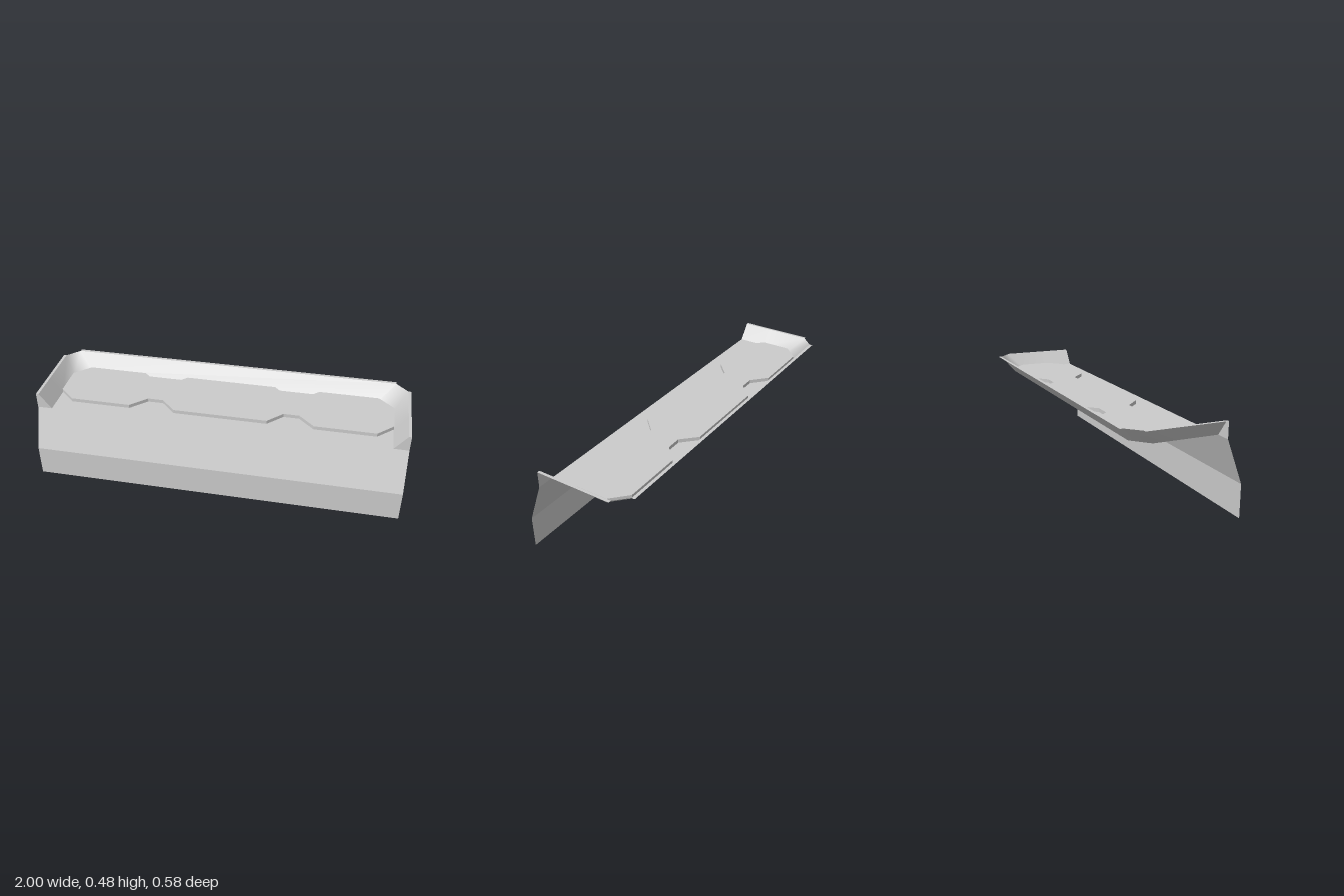
import * as THREE from 'three';

const DECK = 0.395, SLAB = 0.415, RIM = 0.48, FRONT = 0.206;

const material = (flat) => new THREE.MeshStandardMaterial({
  color: 0xcccccc, side: THREE.DoubleSide, flatShading: flat,
});

function addMesh(group, name, geometry, flat = true) {
  const mesh = new THREE.Mesh(geometry, material(flat));
  mesh.name = name;
  group.add(mesh);
  return mesh;
}

// Sheet joining a lower and an upper row of [x, y, z] points
function strip(lower, upper, closed = false) {
  const geometry = new THREE.BufferGeometry();
  const n = lower.length, index = [];
  geometry.setAttribute('position', new THREE.Float32BufferAttribute([...lower, ...upper].flat(), 3));
  for (let i = 0; i < (closed ? n : n - 1); i++) {
    const j = (i + 1) % n;
    index.push(i, j, n + j, i, n + j, n + i);
  }
  geometry.setIndex(index);
  geometry.computeVertexNormals();
  return geometry;
}

// Flat horizontal sheet from [x, z] points at height y
function sheet(points, y) {
  const shape = new THREE.Shape(points.map(([x, z]) => new THREE.Vector2(x, -z)));
  return new THREE.ShapeGeometry(shape).rotateX(-Math.PI / 2).translate(0, y, 0);
}

const at = (points, y) => points.map(([x, z]) => [x, y, z]);
// Continues a left-hand row of points with its mirror image
const mirrored = (points) => [...points, ...points.map(([x, z]) => [-x, z]).reverse()];

export function createModel() {
  const group = new THREE.Group();

  // Notched outline of the raised slab, front and back rows from left to right
  const frontRow = mirrored([[-0.92, 0.04], [-0.835, 0.12], [-0.505, 0.12], [-0.42, 0.04], [-0.335, 0.04], [-0.255, 0.12]]);
  const backRow = mirrored([[-0.92, -0.13], [-0.835, -0.21], [-0.505, -0.21], [-0.42, -0.13], [-0.335, -0.13], [-0.255, -0.21]]);
  const outline = [...frontRow, ...[...backRow].reverse()];
  addMesh(group, 'slabTop', sheet(outline, SLAB));
  addMesh(group, 'slabEdge', strip(at(outline, DECK), at(outline, SLAB), true));

  // Deck in front of the slab and in the two rear notches
  addMesh(group, 'deck', sheet([[-0.92, FRONT], [0.92, FRONT], ...[...frontRow].reverse()], DECK));
  for (const s of [-1, 1]) {
    addMesh(group, 'deckNotch', sheet(
      [[s * 0.505, -0.21], [s * 0.42, -0.13], [s * 0.335, -0.13], [s * 0.255, -0.21]], DECK));
  }

  // Wall leaning outwards around the sides and back
  const wallFoot = mirrored([[-0.92, FRONT], [-0.92, 0.04], [-0.92, -0.13], [-0.835, -0.21]]);
  const wallTop = mirrored([[-0.985, FRONT], [-0.985, 0.04], [-0.985, -0.21], [-0.92, -0.275]]);
  addMesh(group, 'rimWall', strip(at(wallFoot, DECK), at(wallTop, RIM)), false);

  // Narrow flat lips on the straight stretches of the rim
  addMesh(group, 'backLip', sheet([[-0.92, -0.275], [0.92, -0.275], [0.92, -0.292], [-0.92, -0.292]], RIM));
  for (const s of [-1, 1]) {
    addMesh(group, 'sideLip', sheet(
      [[s * 0.985, FRONT], [s, FRONT], [s, -0.21], [s * 0.985, -0.21]], RIM));
  }

  // Front panel: vertical foot, sloped face and upright ears closing the wall ends
  const rows = [[0, 0.29], [0.17, 0.29], [DECK, FRONT]].map(([y, z]) => [[-1, y, z], [1, y, z]]);
  addMesh(group, 'frontPanelFoot', strip(rows[0], rows[1]));
  addMesh(group, 'frontPanelSlope', strip(rows[1], rows[2]));
  for (const s of [-1, 1]) {
    const ear = new THREE.Shape([[1, DECK], [1, RIM], [0.985, RIM], [0.92, DECK]]
      .map(([x, y]) => new THREE.Vector2(s * x, y)));
    addMesh(group, 'frontPanelEar', new THREE.ShapeGeometry(ear).translate(0, 0, FRONT));
  }

  return group;
}
